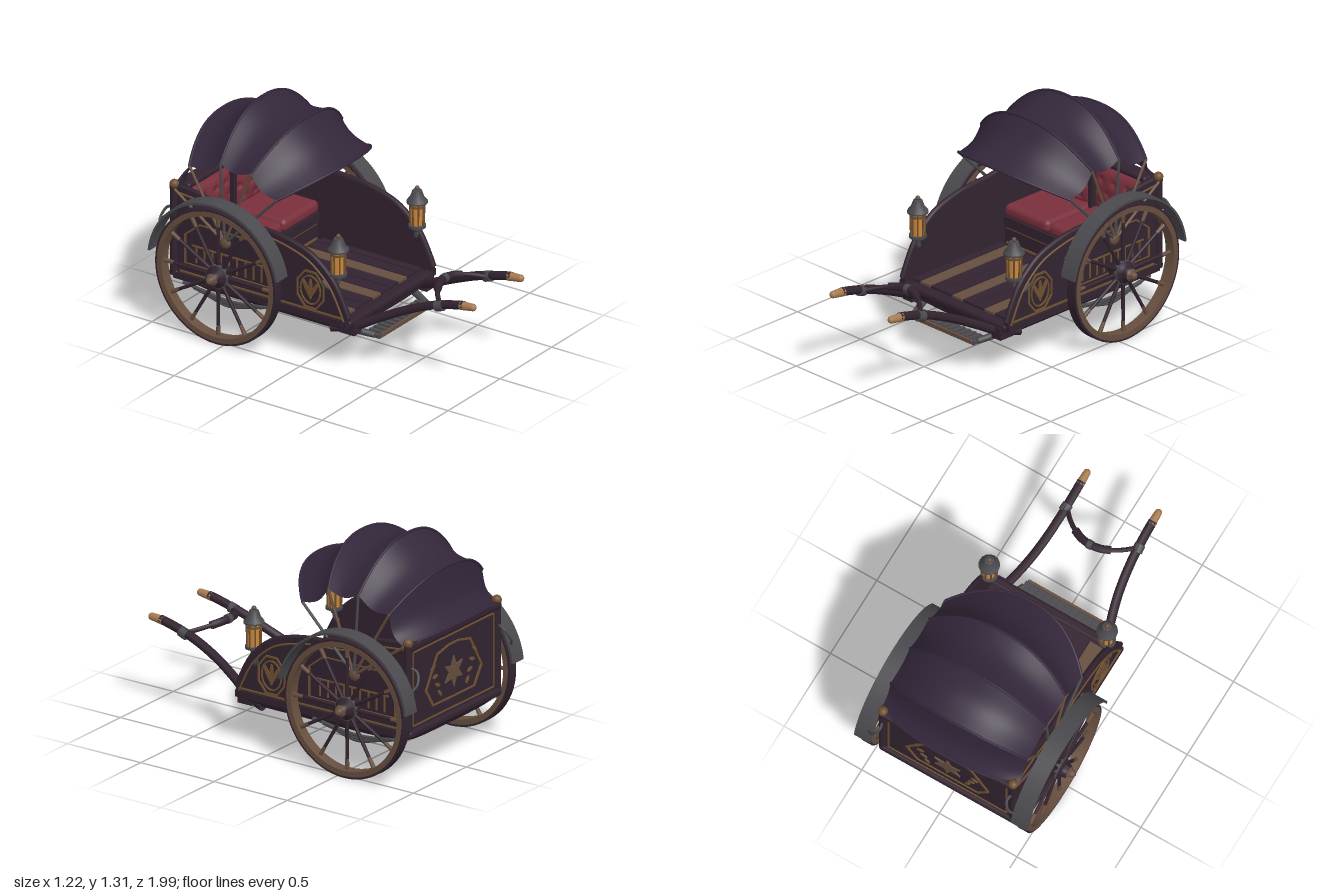
import * as THREE from 'three';
import { toCreasedNormals } from 'three/addons/utils/BufferGeometryUtils.js';
import { RoundedBoxGeometry } from 'three/addons/geometries/RoundedBoxGeometry.js';
import { ParametricGeometry } from 'three/addons/geometries/ParametricGeometry.js';

const mat = (name, color, side = THREE.FrontSide) => {
  const m = new THREE.MeshStandardMaterial({ color, side });
  m.name = name;
  return m;
};
const V = (x, y, z) => new THREE.Vector3(x, y, z);

export function createModel() {
  const root = new THREE.Group();
  root.name = 'rickshaw';
  const plum = mat('plum lacquer', 0x32232f, THREE.DoubleSide);
  const cloth = mat('canopy cloth', 0x33263a, THREE.DoubleSide);
  const red = mat('red leather', 0x7a303c, THREE.DoubleSide);
  const button = mat('dark red button', 0x542029);
  const wood = mat('brown wood', 0x664e3f);
  const tan = mat('tan grip', 0xa67a50);
  const brass = mat('aged brass', 0x6e5030);
  const iron = mat('grey iron', 0x4a4a4e, THREE.DoubleSide);
  const amber = mat('amber glass', 0xd08a3c);

  const add = (name, geo, m, x = 0, y = 0, z = 0) => {
    const o = new THREE.Mesh(geo, m);
    o.name = name;
    o.position.set(x, y, z);
    root.add(o);
    return o;
  };
  const box = (name, w, h, d, m, x, y, z) => add(name, new THREE.BoxGeometry(w, h, d), m, x, y, z);
  const tube = (name, pts, r, m, n = 32) =>
    add(name, new THREE.TubeGeometry(new THREE.CatmullRomCurve3(pts), n, r, 8), m);
  const rod = (name, a, b, r1, r2, m, sides = 10) => {
    const o = add(name, new THREE.CylinderGeometry(r2, r1, a.distanceTo(b), sides), m);
    o.position.copy(a).add(b).multiplyScalar(0.5);
    o.quaternion.setFromUnitVectors(V(0, 1, 0), b.clone().sub(a).normalize());
    return o;
  };
  const lathe = (pts, n = 32) =>
    toCreasedNormals(new THREE.LatheGeometry(pts.map(p => new THREE.Vector2(p[0], p[1])), n), 0.6);
  const shapeOf = pts => new THREE.Shape(pts.map(p => new THREE.Vector2(p[0], p[1])));
  const extrude = (shape, depth) =>
    new THREE.ExtrudeGeometry(shape, { depth, bevelEnabled: false, curveSegments: 48 }).translate(0, 0, -depth / 2);
  // flat outline with a scaled hole
  const frame = (pts, k) => {
    const s = shapeOf(pts);
    s.holes.push(new THREE.Path(pts.map(p => new THREE.Vector2(p[0] * k, p[1] * k))));
    return extrude(s, 0.008);
  };
  const polygon = (n, rx, ry, a0 = 0) => Array.from({ length: n }, (_, i) => {
    const a = a0 + i / n * Math.PI * 2;
    return [Math.cos(a) * rx, Math.sin(a) * ry];
  });
  const star = (n, r, q) => Array.from({ length: n * 2 }, (_, i) => {
    const a = Math.PI / 2 + i * Math.PI / n, k = i % 2 ? q : r;
    return [Math.cos(a) * k, Math.sin(a) * k];
  });
  const toSide = geo => geo.rotateY(-Math.PI / 2); // drawn (z, y), thickness along x

  // Side panels with edge rolls and brass ornaments
  const edge = [[0.265, 0.33], [0.24, 0.39], [0.17, 0.52], [0.08, 0.61], [0, 0.66], [-0.18, 0.71],
    [-0.42, 0.73], [-0.54, 0.755], [-0.68, 0.805], [-0.89, 0.83]];
  const curve = new THREE.SplineCurve(edge.map(p => new THREE.Vector2(...p)));
  const top = curve.getPoints(40).map(p => [p.x, p.y]);
  const panelShape = [...top, [-0.9, 0.28], [0.265, 0.28]];
  for (const s of [-1, 1]) {
    add('sidePanel', toSide(extrude(shapeOf(panelShape), 0.035)), plum, s * 0.407);
    tube('panelRoll', edge.map(p => V(s * 0.41, p[1], p[0])), 0.016, plum, 48);
    tube('panelTrim', edge.map(p => V(s * 0.427, p[1] - 0.028, p[0] - 0.02)), 0.006, brass, 48);
    box('sill', 0.035, 0.04, 1.17, plum, s * 0.415, 0.29, -0.32);
    box('sillTrim', 0.008, 0.01, 1.1, brass, s * 0.43, 0.325, -0.31);
    // Round medallion near the front
    add('medallionFrame', toSide(frame(polygon(8, 0.1, 0.125, Math.PI / 8), 0.9)), brass, s * 0.428, 0.445, 0.02);
    add('medallionRing', toSide(frame(polygon(24, 0.07, 0.09), 0.9)), brass, s * 0.428, 0.445, 0.02);
    for (let i = -1; i <= 1; i++)
      add('medallionPetal', toSide(extrude(shapeOf(polygon(10, 0.012, 0.065)), 0.008).rotateZ(i * 0.5)), brass,
        s * 0.428, 0.45, 0.02 - i * 0.025);
    // Arched relief behind the wheel
    add('reliefFrame', toSide(frame([[-0.3, -0.12], [0.3, -0.12], [0.3, 0.06], [0.2, 0.14], [-0.2, 0.14], [-0.3, 0.06]], 0.96)),
      brass, s * 0.428, 0.5, -0.53);
    for (let i = -4; i <= 4; i++)
      box('reliefBar', 0.008, 0.1, 0.008, brass, s * 0.428, 0.45, -0.53 + i * 0.055);
    box('reliefRail', 0.008, 0.008, 0.5, brass, s * 0.428, 0.5, -0.53);
  }

  // Rounded underbody lofted along its length: z, half width, depth
  const hull = [[0.27, 0.4, 0.01], [0.255, 0.4, 0.07], [0.21, 0.4, 0.105], [0.1, 0.4, 0.12], [-0.5, 0.4, 0.12],
    [-0.72, 0.4, 0.115], [-0.84, 0.4, 0.09], [-0.91, 0.4, 0.045], [-0.935, 0.4, 0.005]];
  add('underbody', new ParametricGeometry((u, v, t) => {
    const f = v * (hull.length - 1), i = Math.min(Math.floor(f), hull.length - 2), k = f - i;
    const [z, w, d] = hull[i].map((a, j) => a + (hull[i + 1][j] - a) * k);
    const a = Math.PI * u, c = Math.cos(a);
    t.set(Math.sign(c) * Math.pow(Math.abs(c), 0.55) * w, 0.3 - Math.pow(Math.sin(a), 0.6) * d, z);
  }, 32, 32), plum);

  // Floor of slats, front lip
  box('floor', 0.8, 0.02, 1.15, plum, 0, 0.288, -0.32);
  for (let k = -1; k < 9; k++) {
    const x = -0.295 + k * 0.084;
    box('floorSlat', k === 8 ? 0.05 : 0.077, 0.014, 0.67, k % 3 ? plum : wood, k === 8 ? 0.365 : x, 0.305, -0.135);
  }
  add('frontLip', new RoundedBoxGeometry(0.82, 0.045, 0.06, 3, 0.018), plum, 0, 0.285, 0.245);

  // Back panel with moulding, posts and ornament
  box('backPanel', 0.84, 0.54, 0.03, plum, 0, 0.56, -0.895);
  for (const y of [0.3, 0.815]) add('backRail', new RoundedBoxGeometry(0.87, 0.045, 0.06, 3, 0.018), plum, 0, y, -0.905);
  for (const y of [0.34, 0.775]) box('backTrim', 0.76, 0.008, 0.008, brass, 0, y, -0.912);
  for (const s of [-1, 1]) {
    add('cornerPost', new THREE.CylinderGeometry(0.023, 0.023, 0.54, 12), plum, s * 0.42, 0.56, -0.905);
    add('cornerKnob', new THREE.SphereGeometry(0.028, 14, 10), brass, s * 0.42, 0.84, -0.905);
    box('backTrimSide', 0.008, 0.435, 0.008, brass, s * 0.38, 0.557, -0.912);
    for (let i = 0; i < 4; i++)
      add('backLeaf', extrude(shapeOf(polygon(8, 0.024, 0.011)), 0.008).rotateZ(s * (0.9 - i * 0.55)), brass,
        s * (0.13 + 0.022 * i), 0.46 + i * 0.055, -0.913);
  }
  const hex = [[-0.27, -0.04], [-0.2, -0.15], [0.2, -0.15], [0.27, -0.04], [0.16, 0.15], [0.05, 0.175], [-0.05, 0.175], [-0.16, 0.15]];
  add('backFrame', frame(hex, 0.94), brass, 0, 0.55, -0.913);
  add('backStar', extrude(shapeOf(star(6, 0.095, 0.045)), 0.009), wood, 0, 0.55, -0.914);

  // Seat bench, tufted cushions
  box('seatBox', 0.72, 0.19, 0.4, plum, 0, 0.395, -0.68);
  box('seatApron', 0.7, 0.06, 0.02, plum, 0, 0.455, -0.475);
  for (const y of [0.325, 0.42]) box('seatTrim', 0.68, 0.012, 0.009, brass, 0, y, -0.476);
  box('seatBackBoard', 0.78, 0.34, 0.04, plum, 0, 0.66, -0.86);
  add('seatBackRail', new RoundedBoxGeometry(0.78, 0.035, 0.07, 3, 0.015), plum, 0, 0.828, -0.86);
  box('seatDivider', 0.03, 0.28, 0.06, plum, 0, 0.68, -0.815);
  const buttons = [];
  for (const [v, us] of [[0.76, [0.2, 0.5, 0.8]], [0.48, [0.08, 0.36, 0.64, 0.92]], [0.2, [0.2, 0.5, 0.8]]])
    for (const u of us) buttons.push([u, v]);
  const puff = (u, v) => {
    const rim = Math.pow(Math.max(0, 16 * u * (1 - u) * v * (1 - v)), 0.25) * 0.055;
    let dip = 0;
    for (const b of buttons) dip += 0.014 * Math.exp(-((u - b[0]) ** 2 + (v - b[1]) ** 2) / 0.004);
    return Math.max(0, rim - dip);
  };
  for (const s of [-1, 1]) {
    add('seatCushion', new RoundedBoxGeometry(0.345, 0.075, 0.38, 4, 0.03), red, s * 0.178, 0.525, -0.65);
    const back = add('backCushion', new ParametricGeometry((u, v, t) =>
      t.set((u - 0.5) * 0.335, (v - 0.5) * 0.27, puff(u, v)), 40, 32), red, s * 0.19, 0.68, -0.83);
    for (const [u, v] of buttons) {
      const b = new THREE.Mesh(new THREE.SphereGeometry(0.007, 8, 6), button);
      b.name = 'cushionButton';
      b.position.set((u - 0.5) * 0.335, (v - 0.5) * 0.27, puff(u, v) + 0.002);
      back.add(b);
    }
  }

  // Folding canopy: hoops fan about a pivot, cloth sags between them
  const pz = -0.55, py = 0.58, W = 0.44;
  const hoops = [[[0, 1.06], [-0.2, 0.935]], [[-0.295, 1.255], [-0.375, 1.05]], [[-0.6, 1.3], [-0.58, 1.06]],
    [[-0.865, 1.16], [-0.79, 0.99]], [[-0.96, 0.85], [-0.89, 0.82]]];
  const hoopPoint = (i, u) => {
    const x = u * 2 - 1, k = Math.pow(Math.abs(x), 2.3), [c, e] = hoops[i];
    return V(x * W, c[1] + (e[1] - c[1]) * k, c[0] + (e[0] - c[0]) * k);
  };
  for (let i = 0; i < 4; i++) add('canopyCloth', new ParametricGeometry((u, v, t) => {
    t.copy(hoopPoint(i, u).lerp(hoopPoint(i + 1, u), v));
    const k = 0.032 * Math.sin(Math.PI * v), d = Math.hypot(t.y - py, t.z - pz);
    t.y -= (t.y - py) / d * k;
    t.z -= (t.z - pz) / d * k;
  }, 36, 10), cloth);
  hoops.forEach((h, i) => {
    tube('canopyHoop', Array.from({ length: 25 }, (_, j) => hoopPoint(i, j / 24)), 0.008, cloth, 60);
    for (const s of [-1, 1])
      rod('canopyRib', V(s * W, py, pz), V(s * W, h[1][1], h[1][0]), 0.009, 0.008, i === 0 || i === 2 ? iron : wood, 8);
  });

  // Wheels, fenders, springs, lamps and shafts on both sides
  const wy = 0.405, wx = 0.503;
  const ring = (r0, r1, w) => lathe([[r0, -w], [r1, -w], [r1, w], [r0, w], [r0, -w]], 64);
  for (const s of [-1, 1]) {
    const onAxle = (name, geo, m, x = s * wx) => add(name, geo.rotateZ(-s * Math.PI / 2), m, x, wy, pz);
    add('canopyPivot', new THREE.SphereGeometry(0.035, 16, 12), wood, s * 0.435, py, pz).scale.x = 0.6;
    onAxle('tyre', ring(0.385, 0.405, 0.031), plum);
    onAxle('rim', ring(0.362, 0.393, 0.033), wood);
    onAxle('hub', lathe([[0, -0.08], [0.04, -0.08], [0.055, -0.05], [0.065, -0.03], [0.065, 0.02], [0.045, 0.035],
      [0.04, 0.06], [0.03, 0.07], [0, 0.07]]), plum);
    onAxle('hubBand', ring(0.04, 0.069, 0.012), iron, s * 0.51);
    onAxle('hubCap', lathe([[0.036, 0.05], [0.036, 0.065], [0.024, 0.075], [0.022, 0.09], [0.014, 0.1], [0, 0.108]]), wood);
    for (let i = 0; i < 12; i++) {
      const a = i * Math.PI / 6, c = Math.cos(a), q = Math.sin(a);
      const at = r => V(s * wx, wy + r * c, pz + r * q);
      rod('spoke', at(0.05), at(0.37), 0.012, 0.009, plum, 8);
      rod('spokeFerrule', at(0.3), at(0.366), 0.011, 0.013, wood, 8);
    }
    // Fender
    const arc = new THREE.Shape();
    arc.absarc(0, 0, 0.443, 0.2, 3.02, false);
    arc.absarc(0, 0, 0.43, 3.02, 0.2, true);
    add('fender', toCreasedNormals(toSide(extrude(arc, 0.104)), 0.6), iron, s * 0.505, 0.412, pz);
    tube('fenderStay', [V(s * 0.42, 0.7, -0.9), V(s * 0.41, 0.68, -0.96), V(s * 0.44, 0.62, -0.985), V(s * 0.48, 0.57, -0.96)], 0.008, iron);
    rod('fenderBrace', V(s * 0.42, 0.58, -0.18), V(s * 0.47, 0.59, -0.155), 0.009, 0.009, iron);
    // Leaf spring and axle end
    for (let i = 0; i < 3; i++) {
      const l = 0.3 - i * 0.07, y = 0.25 - i * 0.015;
      tube('leafSpring', [V(s * 0.41, y, pz - l), V(s * 0.41, y - 0.035, pz), V(s * 0.41, y, pz + l)], 0.01, iron, 20);
    }
    rod('axle', V(s * 0.3, wy, pz), V(s * 0.46, wy, pz), 0.025, 0.025, iron);

    // Lantern
    const lx = s * 0.38, lz = 0.175;
    add('lampBase', lathe([[0, 0.53], [0.018, 0.535], [0.024, 0.55], [0.05, 0.56], [0.05, 0.575], [0, 0.575]], 16), iron, lx, 0, lz);
    add('lampGlass', new THREE.CylinderGeometry(0.04, 0.036, 0.145, 8), amber, lx, 0.645, lz);
    for (let i = 0; i < 8; i++) {
      const a = i * Math.PI / 4, c = Math.cos(a), q = Math.sin(a);
      rod('lampBar', V(lx + q * 0.039, 0.57, lz + c * 0.039), V(lx + q * 0.043, 0.718, lz + c * 0.043), 0.005, 0.005, brass, 6);
    }
    add('lampCollar', new THREE.CylinderGeometry(0.047, 0.047, 0.012, 8), brass, lx, 0.69, lz);
    add('lampRoof', lathe([[0, 0.71], [0.06, 0.71], [0.06, 0.72], [0.04, 0.745], [0.026, 0.785], [0, 0.79]], 16), iron, lx, 0, lz);
    add('lampFinial', new THREE.SphereGeometry(0.014, 12, 8), wood, lx, 0.797, lz);
    tube('lampBracket', [V(lx, 0.54, lz), V(lx + s * 0.005, 0.5, lz - 0.01), V(s * 0.42, 0.49, 0.14), V(s * 0.425, 0.52, 0.1)], 0.014, iron);

    // Pulling shaft
    tube('shaft', [V(s * 0.37, 0.22, 0.12), V(s * 0.335, 0.245, 0.24), V(s * 0.29, 0.31, 0.37), V(s * 0.255, 0.385, 0.52),
      V(s * 0.235, 0.46, 0.7), V(s * 0.23, 0.51, 0.88), V(s * 0.23, 0.517, 0.92)], 0.026, plum, 48);
    rod('shaftGrip', V(s * 0.23, 0.513, 0.9), V(s * 0.23, 0.521, 0.98), 0.026, 0.021, tan, 16);
    add('gripEnd', new THREE.SphereGeometry(0.021, 14, 10), tan, s * 0.23, 0.521, 0.979);
    rod('shaftClasp', V(s * 0.236, 0.465, 0.735), V(s * 0.232, 0.48, 0.78), 0.031, 0.031, iron, 14);
    box('shaftSocket', 0.07, 0.07, 0.1, plum, s * 0.35, 0.25, 0.235);
    rod('stepBracket', V(s * 0.3, 0.21, 0.2), V(s * 0.25, 0.185, 0.33), 0.022, 0.018, iron);
  }

  // Bowed crossbar with a padded middle
  const bow = x => V(x, 0.515 - 0.9 * x * x, 0.625 + 2.6 * x * x);
  tube('crossbar', Array.from({ length: 11 }, (_, i) => bow(-0.23 + i * 0.046)), 0.014, plum);
  tube('crossbarPad', [-0.115, -0.06, 0, 0.06, 0.115].map(bow), 0.024, plum, 24);
  add('crossbarBand', new THREE.CylinderGeometry(0.027, 0.027, 0.03, 14).rotateZ(Math.PI / 2), iron, 0, 0.515, 0.625);

  // Step plate with ribs and brown nosing
  box('stepPlate', 0.51, 0.02, 0.1, iron, 0, 0.18, 0.315);
  for (let i = -5; i <= 5; i++) box('stepRib', 0.018, 0.012, 0.08, iron, i * 0.044, 0.195, 0.315);
  add('stepNosing', new RoundedBoxGeometry(0.49, 0.028, 0.014, 2, 0.005), wood, 0, 0.189, 0.369);

  return root;
}
